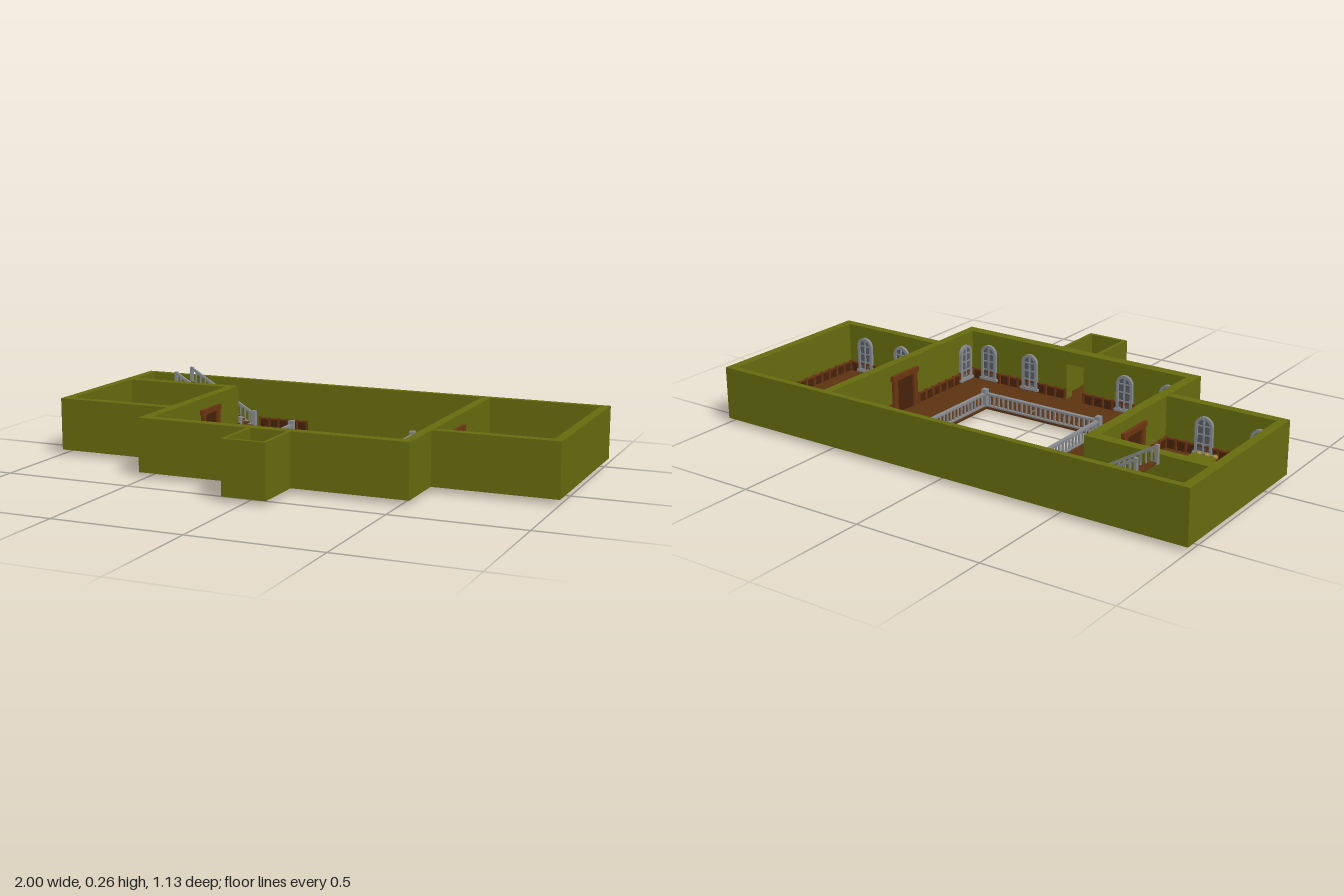
import * as THREE from 'three';
import { mergeGeometries } from 'three/addons/utils/BufferGeometryUtils.js';

const mat = (name, color) => {
  const m = new THREE.MeshStandardMaterial({ color });
  m.name = name;
  return m;
};

export function createModel() {
  const olive = mat('olive wall', 0x666b0e);
  const brown = mat('floor wood', 0x5c3310);
  const trim = mat('dark trim wood', 0x47230b);
  const doorWood = mat('door wood', 0x6b3512);
  const grey = mat('grey stone', 0x868a8f);
  const slate = mat('slate pane', 0x565c64);
  const gold = mat('gold', 0x9a8420);

  const model = new THREE.Group();
  model.name = 'floorPlan';
  const FLOOR = 0.025, BASE = 0.018, TOP = 0.223;

  // box geometry from its limits
  const bx = (x0, x1, y0, y1, z0, z1) =>
    new THREE.BoxGeometry(x1 - x0, y1 - y0, z1 - z0).translate((x0 + x1) / 2, (y0 + y1) / 2, (z0 + z1) / 2);
  const add = (name, geos, material, parent = model) => {
    const mesh = new THREE.Mesh(Array.isArray(geos) ? mergeGeometries(geos) : geos, material);
    mesh.name = name;
    parent.add(mesh);
    return mesh;
  };
  // group fixed to a wall; its local +z points into the room
  const onWall = (name, x, z, angle) => {
    const g = new THREE.Group();
    g.name = name;
    g.position.set(x, FLOOR, z);
    g.rotation.y = angle;
    model.add(g);
    return g;
  };
  const N = Math.PI, S = 0, E = Math.PI / 2, W = -Math.PI / 2; // -z, +z, +x, -x

  // floor slab, open over the hall below
  const outline = [[-0.99, -0.56], [-0.25, -0.56], [-0.25, 0.07], [0.247, 0.07], [0.247, -0.56], [0.99, -0.56], [0.99, 0.13],
    [0.52, 0.13], [0.52, 0.35], [0.078, 0.35], [0.078, 0.558], [-0.078, 0.558], [-0.078, 0.35], [-0.52, 0.35],
    [-0.52, 0.13], [-0.99, 0.13]];
  const slab = new THREE.Shape(outline.map(([x, z]) => new THREE.Vector2(x, -z)));
  add('floor', new THREE.ExtrudeGeometry(slab, { depth: FLOOR - 0.016, bevelEnabled: false })
    .rotateX(-Math.PI / 2).translate(0, 0.016, 0), brown);

  // walls: x0, x1, z0, z1
  const walls = [
    [-1, 1, -0.57, -0.545], [-1, -0.965, -0.545, 0.14], [0.965, 1, -0.545, 0.14],
    [-0.965, -0.53, 0.105, 0.14], [0.53, 0.965, 0.105, 0.14], [-0.965, -0.53, -0.385, -0.345],
    [-0.53, -0.49, -0.385, 0.36], [0.495, 0.53, -0.545, 0.36],
    [-0.49, -0.04, 0.318, 0.36], [0.04, 0.495, 0.318, 0.36],
    [-0.085, -0.07, 0.36, 0.565], [0.07, 0.085, 0.36, 0.565], [-0.07, 0.07, 0.55, 0.565],
  ];
  add('walls', walls.map(([a, b, c, d]) => bx(a, b, BASE, TOP, c, d)), olive);
  add('archLintel', bx(-0.04, 0.04, 0.17, TOP, 0.318, 0.36), olive);

  // low wooden panelling along the rooms: start, end, fixed coordinate, direction
  const wainscot = (a, b, at, dir) => {
    const alongX = dir === N || dir === S, len = b - a, mid = (a + b) / 2;
    const g = onWall('wainscot', alongX ? mid : at, alongX ? at : mid, dir);
    add('wainscotPanel', bx(-len / 2, len / 2, 0, 0.038, 0, 0.004), trim, g);
    const n = Math.max(2, Math.round(len / 0.045)), parts = [bx(-len / 2, len / 2, 0.036, 0.042, 0, 0.008)];
    for (let i = 0; i <= n; i++) {
      const x = -len / 2 + 0.004 + (len - 0.008) * i / n;
      parts.push(bx(x - 0.004, x + 0.004, 0, 0.045, 0, 0.009));
    }
    add('wainscotRail', parts, doorWood, g);
  };
  [[-0.965, -0.53, 0.105, N], [-0.345, 0.105, -0.965, E], [-0.965, -0.53, -0.345, S],
    [-0.345, -0.21, -0.53, W], [-0.05, 0.105, -0.53, W],
    [-0.385, -0.21, -0.49, E], [-0.05, 0.318, -0.49, E], [-0.49, -0.04, 0.318, N], [0.04, 0.495, 0.318, N],
    [-0.545, -0.21, 0.495, W], [-0.05, 0.318, 0.495, W], [-0.47, -0.25, -0.545, S], [0.25, 0.495, -0.545, S],
    [-0.545, -0.21, 0.53, E], [-0.05, 0.105, 0.53, E], [0.53, 0.965, -0.545, S], [-0.545, 0.105, 0.965, W],
    [0.53, 0.965, 0.105, N]].forEach((r) => wainscot(...r));

  // framed doors on both faces of the dividing walls
  const door = (x, dir) => {
    const g = onWall('door', x, -0.13, dir);
    add('doorPanel', bx(-0.05, 0.05, 0, 0.135, 0, 0.004), trim, g);
    const frame = [bx(-0.078, 0.078, 0.135, 0.155, 0, 0.014)];
    for (const s of [-1, 1]) frame.push(bx(s * 0.06 - 0.011, s * 0.06 + 0.011, 0, 0.135, 0, 0.012));
    add('doorFrame', frame, doorWood, g);
  };
  [[-0.53, W], [-0.49, E], [0.495, W], [0.53, E]].forEach((d) => door(...d));

  // arched windows on the inner faces
  const arch = (w, h, Path) => {
    const p = new Path();
    p.moveTo(-w, 0);
    p.lineTo(w, 0);
    p.lineTo(w, h);
    p.absarc(0, h, w, 0, Math.PI, false);
    p.lineTo(-w, 0);
    return p;
  };
  const frameShape = arch(0.036, 0.108, THREE.Shape);
  const inner = arch(0.025, 0.098, THREE.Path).getPoints(8).map((p) => new THREE.Vector2(p.x, p.y + 0.01));
  frameShape.holes.push(new THREE.Path(inner));
  const frameGeo = new THREE.ExtrudeGeometry(frameShape, { depth: 0.012, bevelEnabled: false, curveSegments: 8 });
  const paneGeo = new THREE.ShapeGeometry(arch(0.03, 0.108, THREE.Shape), 8).translate(0, 0, 0.006);
  const bars = [bx(-0.003, 0.003, 0.008, 0.135, 0.004, 0.011), bx(-0.042, 0.042, -0.004, 0.006, 0, 0.016)];
  for (const y of [0.04, 0.075, 0.108]) bars.push(bx(-0.027, 0.027, y - 0.002, y + 0.002, 0.004, 0.01));
  const barGeo = mergeGeometries(bars);
  [[-0.91, 0.105, N], [-0.69, 0.105, N], [0.69, 0.105, N], [0.88, 0.105, N],
    [-0.42, 0.318, N], [-0.23, 0.318, N], [0.21, 0.318, N], [0.41, 0.318, N],
    [-0.49, 0.26, E], [0.495, 0.26, W]].forEach(([x, z, dir]) => {
    const g = onWall('window', x, z, dir);
    g.position.y = FLOOR + 0.01;
    add('windowFrame', frameGeo, grey, g);
    add('windowBars', barGeo, grey, g);
    add('windowPane', paneGeo, slate, g);
  });

  // balustrade round the opening
  const rail = [], H = FLOOR + 0.055;
  const post = (x, z, r, y1) => rail.push(bx(x - r, x + r, FLOOR, y1, z - r, z + r));
  for (const x of [-0.26, 0.26]) {
    rail.push(bx(x - 0.008, x + 0.008, H - 0.008, H, -0.405, 0.078));
    rail.push(bx(x - 0.006, x + 0.006, FLOOR, FLOOR + 0.006, -0.405, 0.078));
    for (const z of [-0.405, 0.078]) post(x, z, 0.011, H + 0.014);
    for (let i = 1; i < 22; i++) post(x, -0.405 + 0.483 * i / 22, 0.003, H - 0.004);
  }
  rail.push(bx(-0.26, 0.26, H - 0.008, H, 0.07, 0.086), bx(-0.26, 0.26, FLOOR, FLOOR + 0.006, 0.072, 0.084));
  for (let i = 1; i < 24; i++) post(-0.26 + 0.52 * i / 24, 0.078, 0.003, H - 0.004);
  add('balustrade', rail, grey);

  // staircase rising towards -x
  const STEPS = 14, x0 = -0.49, x1 = -0.78, treads = [], stairRail = [];
  const rise = (t) => FLOOR + 0.005 + t * 0.175;
  for (let i = 0; i < STEPS; i++) {
    const x = x0 + (x1 - x0) * (i + 0.5) / STEPS, y = rise((i + 0.5) / STEPS);
    treads.push(bx(x - 0.012, x + 0.012, y - 0.006, y, -0.525, -0.4));
  }
  add('stairTreads', treads, brown);
  const slope = Math.atan2(0.175, x1 - x0), slopeLen = Math.hypot(0.175, x1 - x0);
  for (const z of [-0.53, -0.395]) {
    for (const dy of [-0.004, 0.05])
      stairRail.push(new THREE.BoxGeometry(slopeLen, 0.009, 0.011).rotateZ(slope)
        .translate((x0 + x1) / 2, rise(0.5) + dy, z));
    for (let i = 1; i < STEPS; i++) {
      const t = i / STEPS, x = x0 + (x1 - x0) * t;
      stairRail.push(bx(x - 0.0025, x + 0.0025, rise(t), rise(t) + 0.05, z - 0.0025, z + 0.0025));
    }
    stairRail.push(bx(x0 - 0.009, x0 + 0.009, 0, 0.095, z - 0.009, z + 0.009));
    stairRail.push(bx(x1 - 0.006, x1 + 0.006, 0.19, 0.26, z - 0.006, z + 0.006));
  }
  add('stairRailing', stairRail, grey);

  // low chest with small ornaments in the side room
  add('chest', bx(-0.79, -0.695, FLOOR, 0.075, -0.09, 0.005), olive);
  add('chestStand', bx(-0.79, -0.695, FLOOR, 0.06, 0.008, 0.04), trim);
  const knobs = [-0.775, -0.742, -0.71].map((x) => new THREE.SphereGeometry(0.011, 10, 8).translate(x, 0.068, 0.026));
  add('chestOrnaments', knobs, gold);

  // pale plank joints on the floor
  const joints = [[-0.72, -0.295], [-0.925, 0.01], [-0.43, 0.01], [-0.465, -0.17], [-0.262, -0.47], [-0.18, 0.134],
    [0.07, 0.134], [0.31, 0.134], [0.272, -0.17], [0.262, -0.47], [0.738, -0.348], [0.77, -0.043], [0.946, -0.524]];
  add('plankJoints', joints.map(([x, z]) => bx(x - 0.002, x + 0.002, FLOOR, FLOOR + 0.002, z - 0.01, z + 0.01)), grey);

  return model;
}
